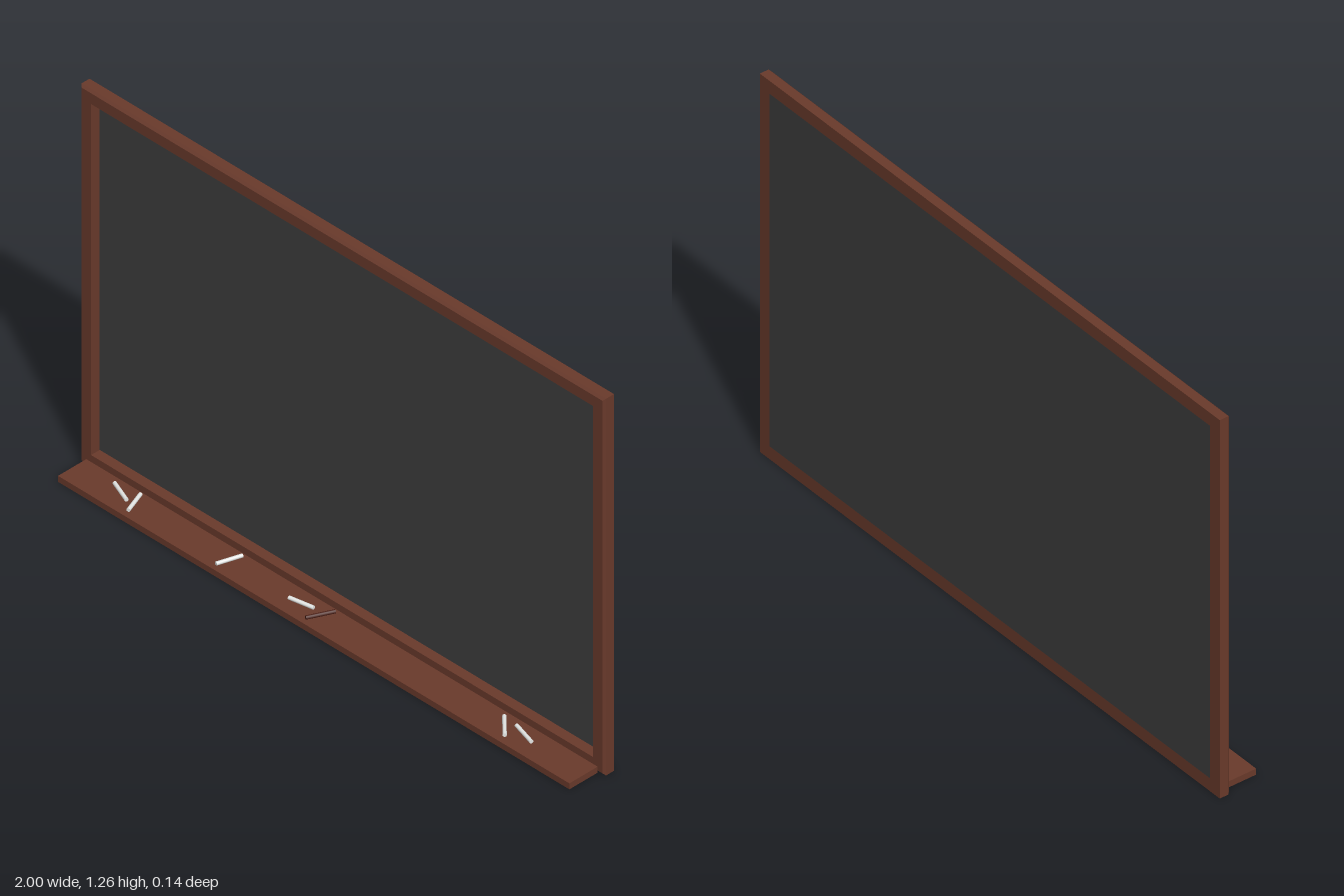
import * as THREE from 'three';

const W = 2, H = 1.26, BACK = -0.072, FRONT = -0.035, RIM = 0.043;

const colour = (name, hex) => {
  const m = new THREE.MeshStandardMaterial({ color: hex });
  m.name = name;
  return m;
};

// Sweep a closed [inset, z] profile round the rectangle with mitred corners
function frameGeometry(profile) {
  const corners = [[-1, -1], [1, -1], [1, 1], [-1, 1]];
  const point = ([sx, sy], [inset, z]) =>
    [sx * (W / 2 - inset), H / 2 + sy * (H / 2 - inset), z];
  const pos = [];
  corners.forEach((c, i) => {
    const n = corners[(i + 1) % 4];
    profile.forEach((p, j) => {
      const q = profile[(j + 1) % profile.length];
      const a = point(c, p), b = point(n, p), d = point(n, q), e = point(c, q);
      pos.push(...a, ...b, ...d, ...a, ...d, ...e);
    });
  });
  const geo = new THREE.BufferGeometry();
  geo.setAttribute('position', new THREE.Float32BufferAttribute(pos, 3));
  geo.computeVertexNormals();
  return geo;
}

export function createModel() {
  const wood = colour('wood', 0x6a3a2b);
  const slate = colour('slate', 0x3e3e3e);
  const white = colour('white chalk', 0xe6e8e6);
  const dark = colour('dark red chalk', 0x4c2017);

  const model = new THREE.Group();
  model.name = 'chalkboard';
  const add = (name, geo, mat, x = 0, y = 0, z = 0, parent = model) => {
    const mesh = new THREE.Mesh(geo, mat);
    mesh.name = name;
    mesh.position.set(x, y, z);
    parent.add(mesh);
    return mesh;
  };

  // Frame with a small chamfer on its outer front edge
  add('frame', frameGeometry([
    [0, BACK], [0, FRONT - 0.007], [0.007, FRONT], [RIM, FRONT], [RIM, BACK],
  ]), wood);

  // Thin writing surface set at the back of the frame
  add('board', new THREE.BoxGeometry(W - 2 * RIM, H - 2 * RIM, 0.004), slate, 0, H / 2, BACK + 0.002);

  // Chalk ledge
  add('tray', new THREE.BoxGeometry(1.95, 0.02, 0.072 - FRONT), wood, 0, 0.01, (0.072 + FRONT) / 2);

  // Chalk sticks: x and z of both ends, material
  const chalks = new THREE.Group();
  chalks.name = 'chalks';
  model.add(chalks);
  const r = 0.006;
  [
    [-0.84, -0.008, -0.763, 0.023, white],
    [-0.755, -0.022, -0.727, 0.052, white],
    [-0.366, -0.022, -0.39, 0.055, white],
    [-0.144, 0.023, -0.064, 0.008, white],
    [-0.012, -0.022, -0.048, 0.055, dark],
    [0.642, -0.012, 0.704, 0.048, white],
    [0.695, -0.006, 0.776, 0.018, white],
  ].forEach(([x1, z1, x2, z2, mat]) => {
    const dir = new THREE.Vector3(x2 - x1, 0, z2 - z1);
    const geo = new THREE.CylinderGeometry(r, r, dir.length(), 12);
    const stick = add('chalk', geo, mat, (x1 + x2) / 2, 0.02 + r, (z1 + z2) / 2, chalks);
    stick.quaternion.setFromUnitVectors(new THREE.Vector3(0, 1, 0), dir.normalize());
  });

  return model;
}
